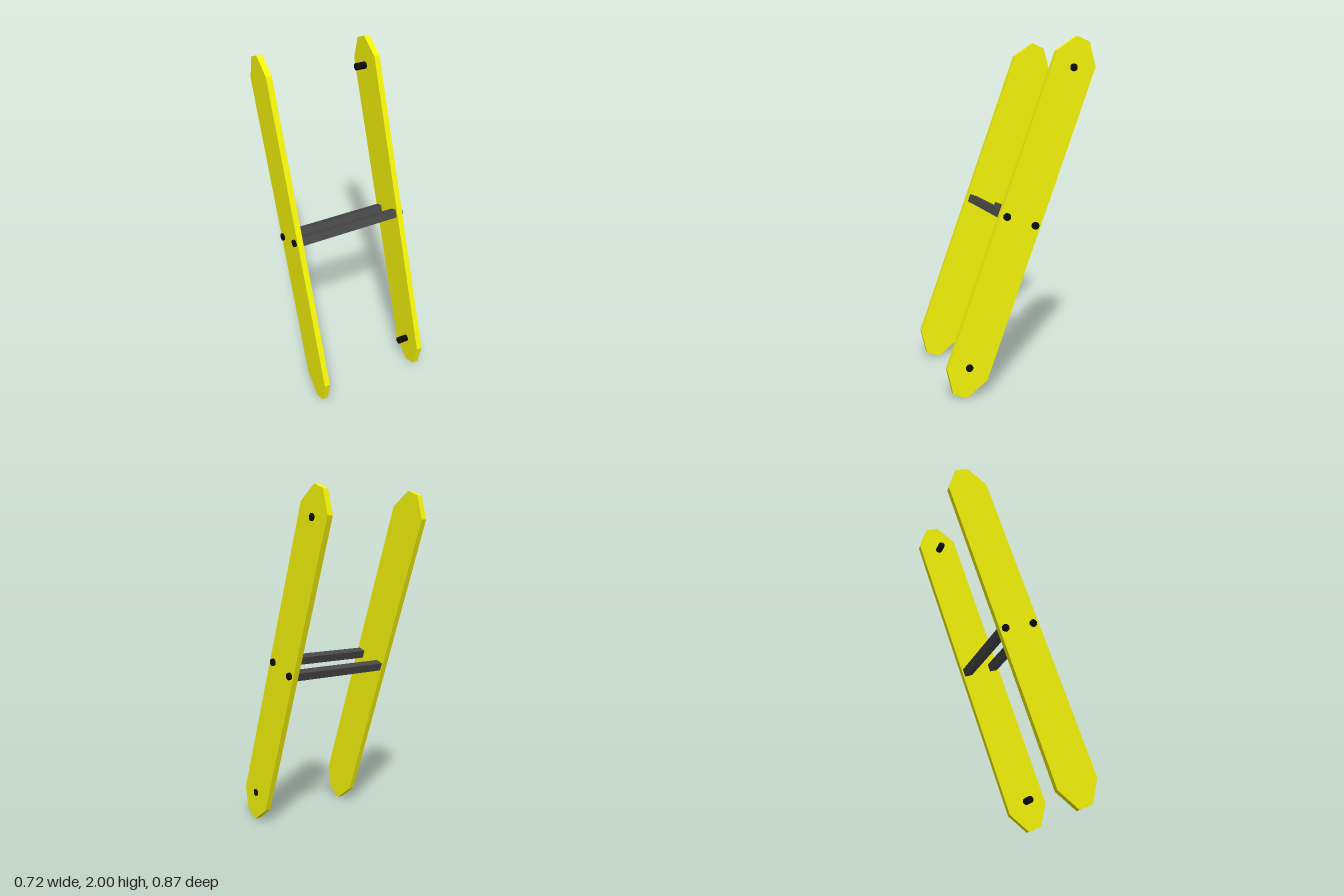
import * as THREE from 'three';

const yellow = new THREE.MeshStandardMaterial({ color: 0xf2f20a });
const grey = new THREE.MeshStandardMaterial({ color: 0x484848 });
const black = new THREE.MeshStandardMaterial({ color: 0x0b0b0b });

const TILT = -0.35; // lean of the rails about x
const RAIL_X = 0.33;
const RAIL_T = 0.034;

// Rail outline as [z, y]
const OUTLINE = [
  [-0.2, 1.92], [-0.32, 2], [-0.395, 1.97], [-0.433, 1.835],
  [0.2, 0.09], [0.32, 0], [0.4, 0.035], [0.433, 0.18],
];

function add(parent, name, geometry, material) {
  const mesh = new THREE.Mesh(geometry, material);
  mesh.name = name;
  parent.add(mesh);
  return mesh;
}

// Round pin along x, from x0 to x1
function addPin(parent, name, x0, x1, y, z) {
  const geometry = new THREE.CylinderGeometry(0.021, 0.021, x1 - x0, 24).rotateZ(Math.PI / 2);
  add(parent, name, geometry, black).position.set((x0 + x1) / 2, y, z);
}

export function createModel() {
  const group = new THREE.Group();
  group.name = 'leaningFrame';

  // Two leaning side rails
  const shape = new THREE.Shape(OUTLINE.map(([z, y]) => new THREE.Vector2(-z, y)));
  const railGeometry = new THREE.ExtrudeGeometry(shape, { depth: RAIL_T, bevelEnabled: false })
    .translate(0, 0, -RAIL_T / 2)
    .rotateY(Math.PI / 2);
  for (const [name, side] of [['leftRail', 1], ['rightRail', -1]]) {
    add(group, name, railGeometry, yellow).position.x = side * RAIL_X;
  }

  // Two square crossbars, each on a pin that runs through both rails
  for (const [name, y, z] of [['front', 1.026, 0.085], ['back', 0.966, -0.082]]) {
    const bar = add(group, name + 'Crossbar', new THREE.BoxGeometry(0.63, 0.048, 0.048), grey);
    bar.position.set(0, y, z);
    bar.rotation.x = TILT;
    addPin(group, name + 'CrossbarPin', -0.36, 0.36, y, z);
  }

  // Short pegs through the ends of the left rail
  addPin(group, 'upperPeg', 0.25, 0.353, 1.832, -0.301);
  addPin(group, 'lowerPeg', 0.25, 0.353, 0.178, 0.305);

  return group;
}
